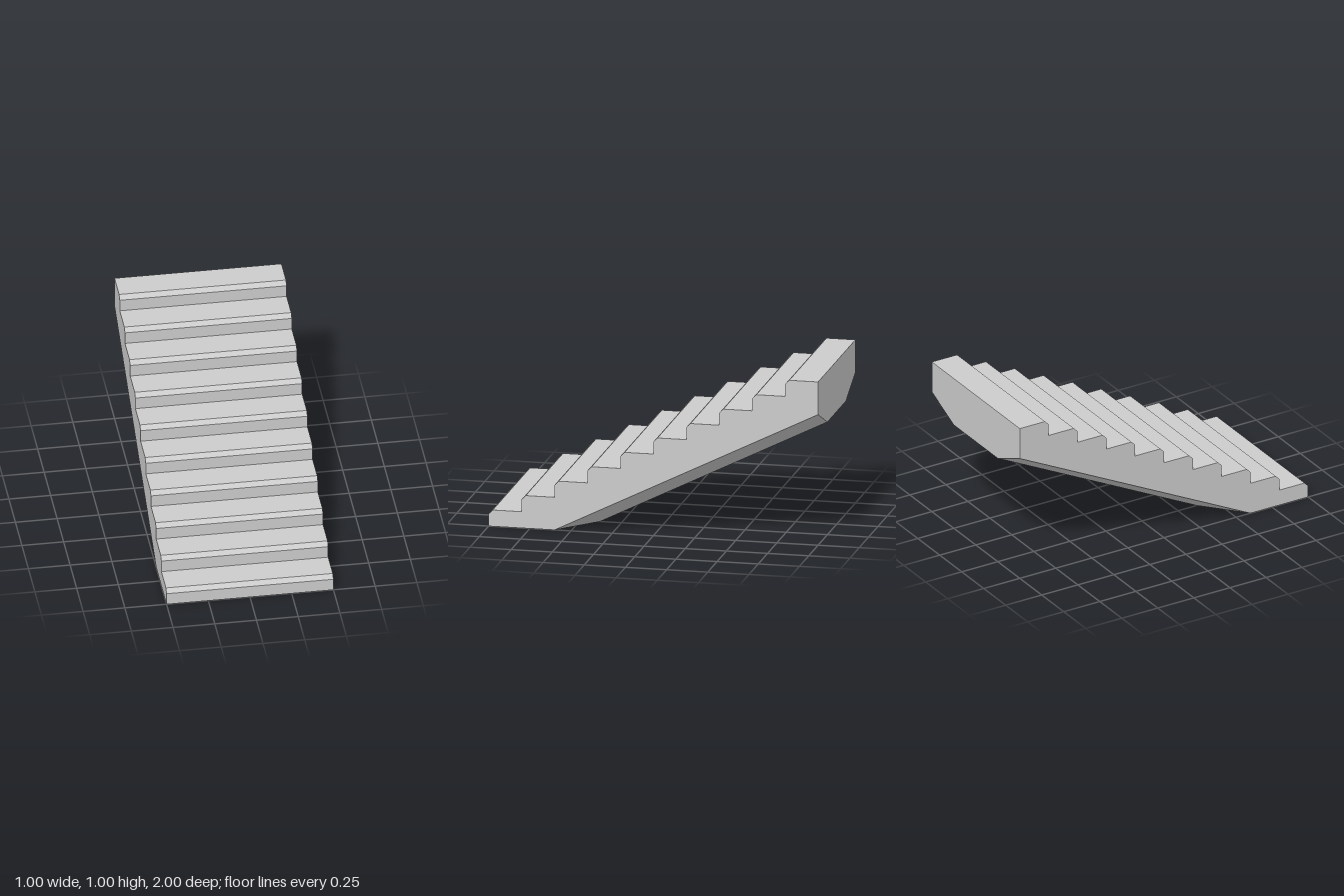
import * as THREE from 'three';

const STEPS = 10, RUN = 0.2, RISE = 0.1, BEVEL = 0.025;

export function createModel() {
  const group = new THREE.Group();
  group.name = 'staircase';

  // Side profile: shape x is the model's z, shape y is height
  const profile = new THREE.Shape();
  profile.moveTo(1, 0);
  for (let i = 0; i < STEPS; i++) {
    const z = 1 - i * RUN, top = (i + 1) * RISE;
    if (i > 0) profile.lineTo(z, top - RISE);
    profile.lineTo(z, top - BEVEL); // riser
    profile.lineTo(z - BEVEL, top); // bevelled nosing
  }
  profile.lineTo(-1, 1);
  profile.lineTo(-1, 0.8);
  profile.lineTo(0.6, 0);
  profile.closePath();

  // Extrude across the width in four strips
  const geometry = new THREE.ExtrudeGeometry(profile, { depth: 1, steps: 4, bevelEnabled: false });
  geometry.translate(0, 0, -0.5);
  geometry.rotateY(-Math.PI / 2);

  // Push the inner strips of the sloped underside down into a bevelled keel
  const pos = geometry.attributes.position;
  const near = (a, b) => Math.abs(a - b) < 1e-4;
  for (let i = 0; i < pos.count; i++) {
    if (Math.abs(pos.getX(i)) > 0.3) continue;
    const y = pos.getY(i), z = pos.getZ(i);
    if (near(y, 0) && near(z, 0.6)) pos.setZ(i, 0.38);
    if (near(y, 0.8) && near(z, -1)) pos.setY(i, 0.69);
  }
  geometry.computeVertexNormals();

  const stairs = new THREE.Mesh(
    geometry,
    new THREE.MeshStandardMaterial({ color: 0xcccccc, flatShading: true })
  );
  stairs.name = 'stairFlight';
  group.add(stairs);
  return group;
}
